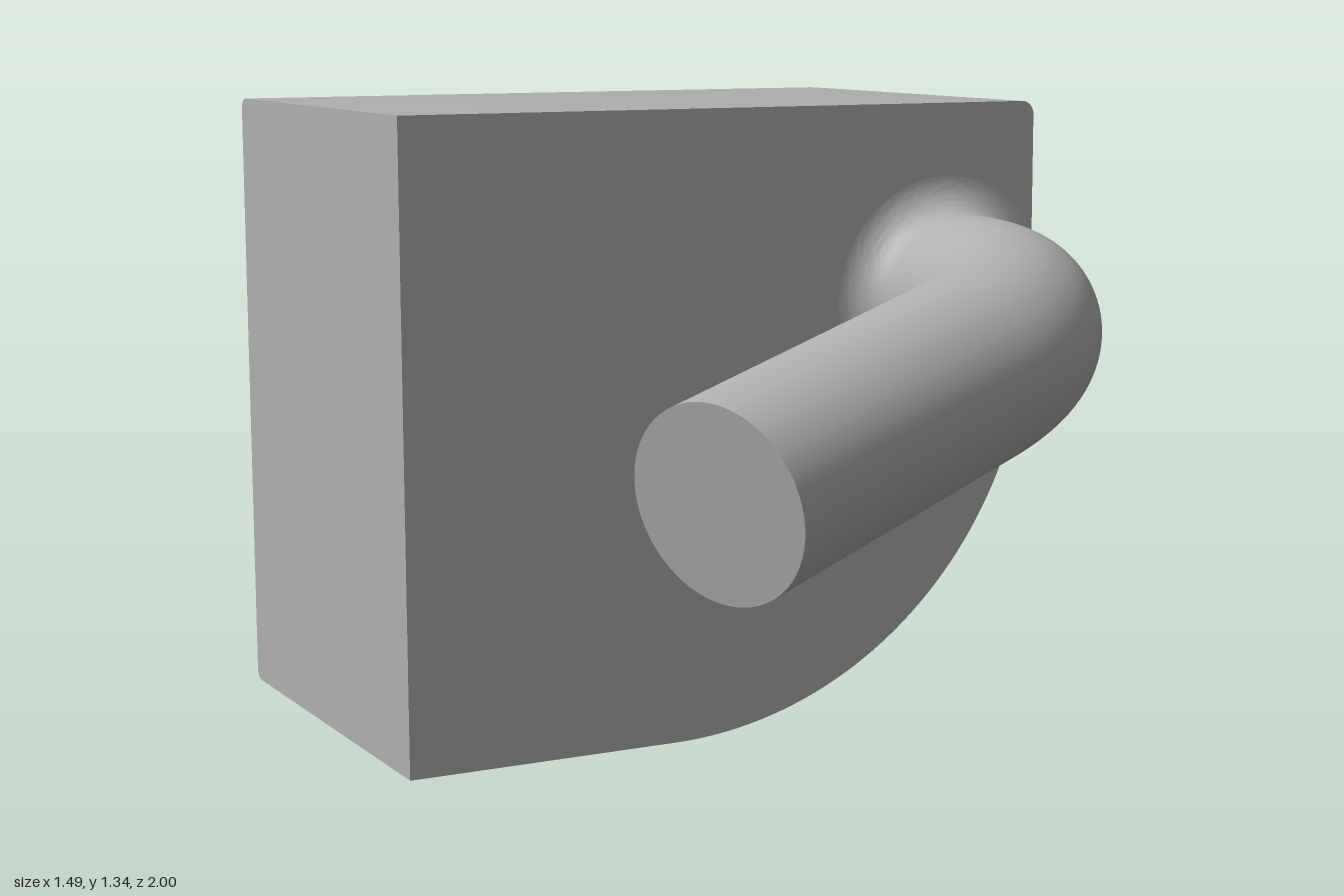
import * as THREE from 'three';
import { toCreasedNormals } from 'three/addons/utils/BufferGeometryUtils.js';

const LEFT = -0.747, RIGHT = 0.747, TOP = 1.342;
const FRONT = -0.04, BACK = -1;
const ARC = 0.89, EDGE = 0.025;          // big lower corner, small edge rounding
const ARC_X = RIGHT - ARC;
const PIPE_R = 0.192, FLARE = 0.08, PIPE_X = 0.525, PIPE_Y = 0.912;

// Closed solid from rings of points, counter-clockwise about the loft direction
function loft(rings) {
  const pos = [];
  const tri = (...pts) => pts.forEach((p) => pos.push(p.x, p.y, p.z));
  const n = rings[0].length;
  for (let i = 0; i < rings.length - 1; i++) {
    const a = rings[i], b = rings[i + 1];
    for (let j = 0; j < n; j++) {
      const k = (j + 1) % n;
      tri(a[j], a[k], b[k]);
      tri(a[j], b[k], b[j]);
    }
  }
  const middle = (r) => r.reduce((s, p) => s.add(p), new THREE.Vector3()).divideScalar(n);
  const first = rings[0], last = rings[rings.length - 1];
  const c0 = middle(first), c1 = middle(last);
  for (let j = 0; j < n; j++) {
    const k = (j + 1) % n;
    tri(c0, first[k], first[j]);
    tri(c1, last[j], last[k]);
  }
  const geo = new THREE.BufferGeometry();
  geo.setAttribute('position', new THREE.Float32BufferAttribute(pos, 3));
  geo.computeVertexNormals();
  return toCreasedNormals(geo, 0.5);
}

// Block outline, pulled in by d everywhere except along the straight left side
function outline(d, z) {
  const pts = [new THREE.Vector3(LEFT, TOP - d, z), new THREE.Vector3(LEFT, d, z)];
  const arc = (cx, cy, r, from, steps) => {
    for (let i = 0; i <= steps; i++) {
      const t = from + (i / steps) * Math.PI / 2;
      pts.push(new THREE.Vector3(cx + r * Math.cos(t), cy + r * Math.sin(t), z));
    }
  };
  arc(ARC_X, ARC, ARC - d, -Math.PI / 2, 48);
  arc(RIGHT - 0.03, TOP - 0.03, 0.03 - d, 0, 8);
  return pts;
}

function bodyGeometry() {
  const rings = [];
  for (let i = 0; i <= 8; i++) {
    const t = (i / 8) * Math.PI / 2;
    rings.push(outline(EDGE * (1 - Math.sin(t)), BACK + EDGE * (1 - Math.cos(t))));
  }
  rings.push(outline(0, FRONT));
  return loft(rings);
}

const insideBlock = (x, y) =>
  x <= RIGHT && (x < ARC_X || y > ARC || Math.hypot(x - ARC_X, y - ARC) <= ARC);

// Bent pipe with a flared root that is trimmed flush with the block's side
function pipeGeometry() {
  const u = new THREE.Vector3(-0.977, -0.213, 0).normalize();
  const w = new THREE.Vector3(0, 0, 1);
  const bend = 1.18, R = 0.53, tail = 0.775, SIDES = 96;
  const rings = [];
  const ring = (su, sz, angle, radius, trim) => {
    const center = new THREE.Vector3(PIPE_X, PIPE_Y, sz).addScaledVector(u, su);
    const n = u.clone().multiplyScalar(Math.cos(angle)).addScaledVector(w, -Math.sin(angle));
    const d = u.clone().multiplyScalar(Math.sin(angle)).addScaledVector(w, Math.cos(angle));
    const b = d.clone().cross(n);
    const pts = [];
    for (let j = 0; j < SIDES; j++) {
      const t = (j / SIDES) * Math.PI * 2;
      const dir = n.clone().multiplyScalar(Math.cos(t)).addScaledVector(b, Math.sin(t));
      let r = radius;
      while (trim && !insideBlock(center.x + dir.x * r, center.y + dir.y * r)) r -= 0.0005;
      pts.push(center.clone().addScaledVector(dir, r));
    }
    rings.push(pts);
  };
  // flared root
  for (let i = 0; i <= 16; i++) {
    const t = (i / 16) * Math.PI / 2;
    ring(0, FRONT + FLARE * (1 - Math.cos(t)), 0, PIPE_R + FLARE * (1 - Math.sin(t)), true);
  }
  // bend
  const z0 = FRONT + FLARE;
  for (let i = 1; i <= 32; i++) {
    const a = (i / 32) * bend;
    ring(R * (1 - Math.cos(a)), z0 + R * Math.sin(a), a, PIPE_R, false);
  }
  // straight end
  ring(R * (1 - Math.cos(bend)) + tail * Math.sin(bend),
    z0 + R * Math.sin(bend) + tail * Math.cos(bend), bend, PIPE_R, false);
  return loft(rings);
}

export function createModel() {
  const group = new THREE.Group();
  group.name = 'blockWithBentPipe';
  const grey = new THREE.MeshStandardMaterial({ color: 0xb0b0b0 });
  grey.name = 'grey';
  const add = (name, geometry) => {
    const mesh = new THREE.Mesh(geometry, grey);
    mesh.name = name;
    group.add(mesh);
  };
  add('block', bodyGeometry());
  add('bentPipe', pipeGeometry());
  return group;
}
